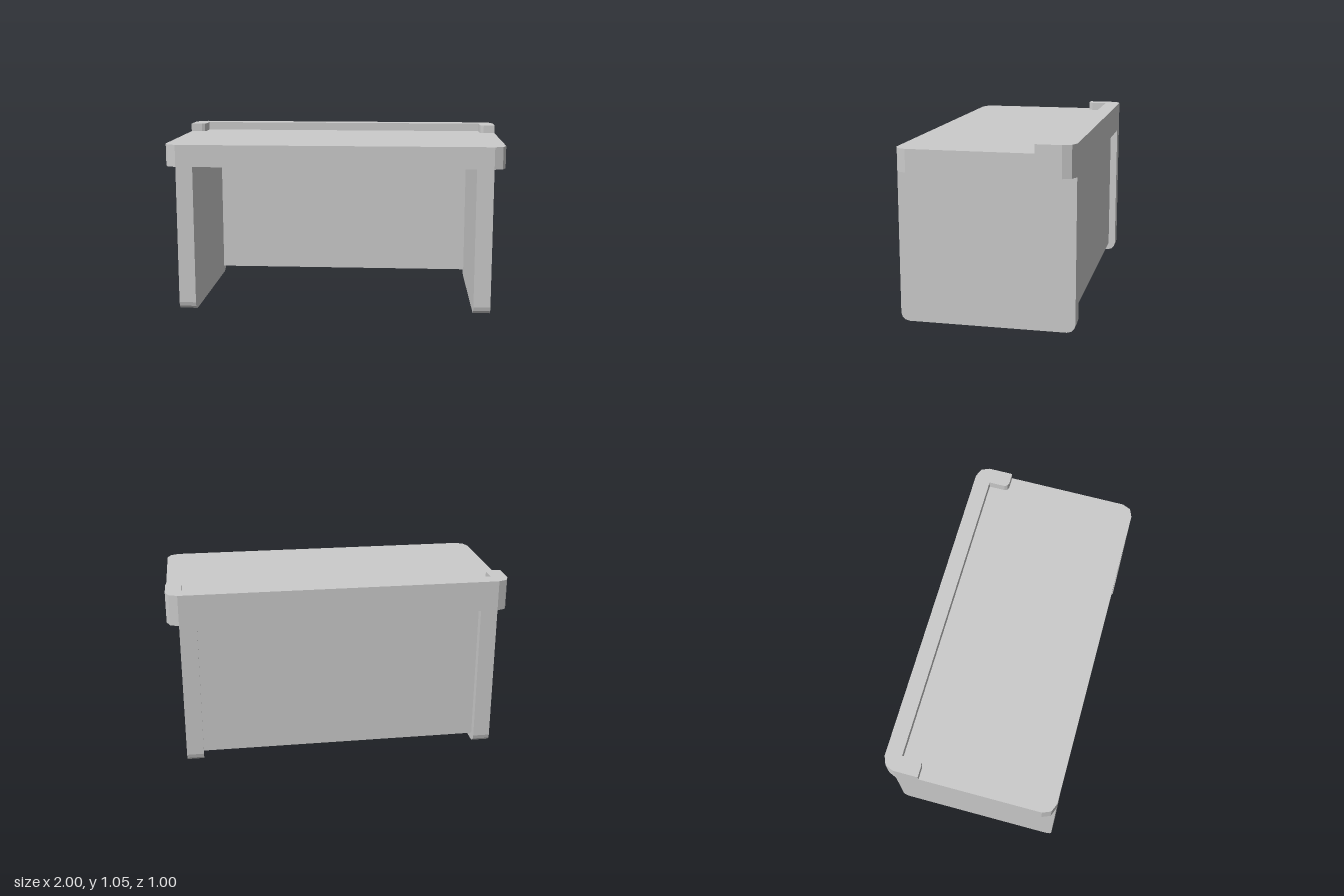
import * as THREE from 'three';

const material = new THREE.MeshStandardMaterial({ color: 0xcccccc, flatShading: true });

// Outline from right-angled corners [x, y, radius, segments], each rounded by straight facets
function roundedShape(corners) {
  const points = [];
  corners.forEach(([x, y, r = 0, n = 2], i) => {
    const corner = new THREE.Vector2(x, y);
    if (!r) { points.push(corner); return; }
    const before = corners[(i + corners.length - 1) % corners.length];
    const after = corners[(i + 1) % corners.length];
    const a = new THREE.Vector2(before[0] - x, before[1] - y).normalize();
    const b = new THREE.Vector2(after[0] - x, after[1] - y).normalize();
    for (let k = 0; k <= n; k++) {
      const t = (k / n) * Math.PI / 2;
      points.push(corner.clone()
        .addScaledVector(a, r * (1 - Math.sin(t)))
        .addScaledVector(b, r * (1 - Math.cos(t))));
    }
  });
  return new THREE.Shape(points);
}

function extrude(name, corners, depth) {
  const geometry = new THREE.ExtrudeGeometry(roundedShape(corners), { depth, bevelEnabled: false });
  const mesh = new THREE.Mesh(geometry, material);
  mesh.name = name;
  return mesh;
}

export function createModel() {
  const desk = new THREE.Group();
  desk.name = 'desk';

  // Table top: outline in (x, -z), extruded upwards
  const R = 0.07;
  const top = extrude('tableTop',
    [[-1, -0.5, R], [1, -0.5, R], [1, 0.5, R], [-1, 0.5, R]], 0.13);
  top.rotation.x = -Math.PI / 2;
  top.position.y = 0.87;
  desk.add(top);

  // Raised rim along the back, returning forward at both ends
  const rim = extrude('backRim', [
    [-1, 0.285], [-0.905, 0.285, 0.025], [-0.905, 0.405], [0.905, 0.405],
    [0.905, 0.285, 0.025], [1, 0.285], [1, 0.5, R], [-1, 0.5, R],
  ], 0.05);
  rim.rotation.x = -Math.PI / 2;
  rim.position.y = 1;
  desk.add(rim);

  // Side panels with rounded feet: outline in (-z, y), extruded across x
  for (const [name, x] of [['leftSidePanel', 0.83], ['rightSidePanel', -0.93]]) {
    const side = extrude(name,
      [[-0.5, 0, 0.048, 3], [0.5, 0, 0.048, 3], [0.5, 0.87], [-0.5, 0.87]], 0.1);
    side.rotation.y = Math.PI / 2;
    side.position.x = x;
    desk.add(side);
  }

  // Thin back panel, recessed from the rear edge
  const back = new THREE.Mesh(new THREE.BoxGeometry(1.66, 0.825, 0.025), material);
  back.name = 'backPanel';
  back.position.set(0, 0.4575, -0.4425);
  desk.add(back);

  return desk;
}
